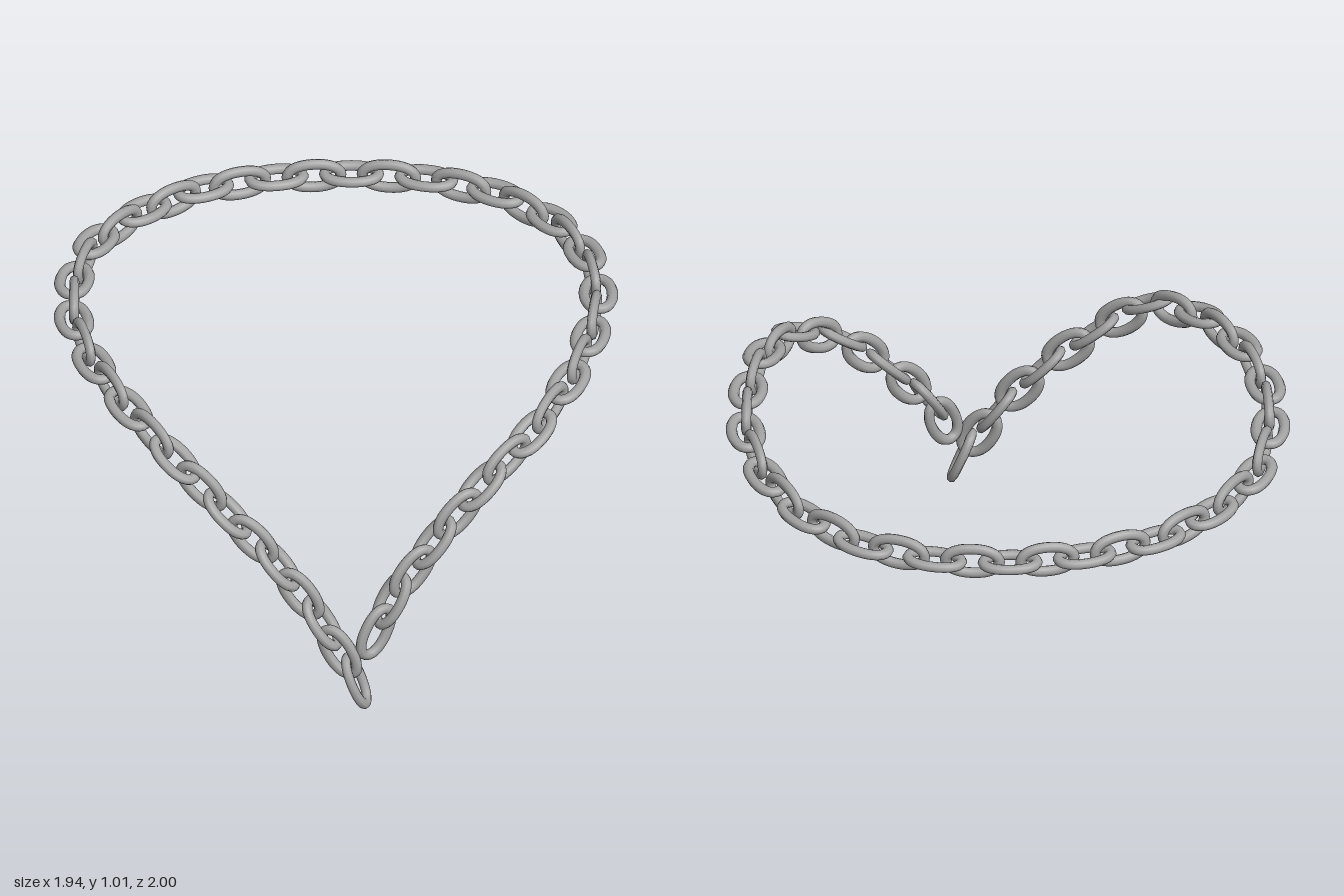
import * as THREE from 'three';

// Centres of the links that lie flat around the loop, from the back round the left side
const FLAT = [
  [0.10, 0.88, -0.935], [0.354, 0.885, -0.888], [0.586, 0.895, -0.777], [0.766, 0.91, -0.592],
  [0.866, 0.932, -0.365], [0.898, 0.95, -0.106], [0.856, 0.957, 0.143], [0.766, 0.945, 0.386],
  [0.629, 0.887, 0.592], [0.449, 0.765, 0.719], [0.28, 0.585, 0.793], [0.132, 0.395, 0.861],
  [0.007, 0.111, 0.932], // lowest link
  [-0.106, 0.32, 0.877], [-0.254, 0.525, 0.81], [-0.423, 0.70, 0.74], [-0.597, 0.865, 0.64],
  [-0.745, 0.935, 0.434], [-0.85, 0.957, 0.2], [-0.903, 0.952, -0.058], [-0.887, 0.937, -0.306],
  [-0.798, 0.913, -0.555], [-0.623, 0.896, -0.745], [-0.412, 0.886, -0.872], [-0.158, 0.88, -0.93],
].map((p) => new THREE.Vector3(...p));
const LOWEST = 12;

// One oval link in the XY plane, long axis on X
function linkGeometry() {
  const soft = (v) => Math.sign(v) * Math.abs(v) ** 0.92;
  const points = [];
  for (let i = 0; i < 24; i++) {
    const a = (i / 24) * Math.PI * 2;
    points.push(new THREE.Vector3(0.092 * soft(Math.cos(a)), 0.048 * soft(Math.sin(a)), 0));
  }
  const path = new THREE.CatmullRomCurve3(points, true);
  return new THREE.TubeGeometry(path, 36, 0.0195, 8, true).scale(1, 1, 0.87);
}

export function createModel() {
  const group = new THREE.Group();
  group.name = 'chain';
  const steel = new THREE.MeshStandardMaterial({ color: 0xa4a4a4 });
  steel.name = 'steel grey';
  const geometry = linkGeometry();
  const up = new THREE.Vector3(0, 1, 0);

  // Places a link along a direction, either flat or standing upright
  function addLink(name, centre, direction, upright) {
    const t = direction.clone().normalize();
    const side = t.clone().cross(up).normalize();
    const other = side.clone().cross(t);
    const basis = upright
      ? new THREE.Matrix4().makeBasis(t, other.clone().negate(), side.clone())
      : new THREE.Matrix4().makeBasis(t, side, other.clone().negate());
    if (basis.determinant() < 0) basis.scale(new THREE.Vector3(1, 1, -1));
    const link = new THREE.Mesh(geometry, steel);
    link.name = name;
    link.quaternion.setFromRotationMatrix(basis);
    link.position.copy(centre);
    group.add(link);
  }

  const n = FLAT.length;
  FLAT.forEach((p, i) => {
    const next = FLAT[(i + 1) % n];
    const prev = FLAT[(i + n - 1) % n];
    // Flat link; the lowest one hangs from its neighbours
    const along = i === LOWEST ? new THREE.Vector3(0.36, -0.93, 0.1) : next.clone().sub(prev);
    addLink(i === LOWEST ? 'lowestLink' : `flatLink${i + 1}`, p, along, false);
    // Upright link joining this one to the next
    const middle = p.clone().add(next).multiplyScalar(0.5);
    if (i === LOWEST - 1) middle.set(0.077, 0.285, 0.89);
    addLink(`uprightLink${i + 1}`, middle, next.clone().sub(p), true);
  });
  return group;
}
